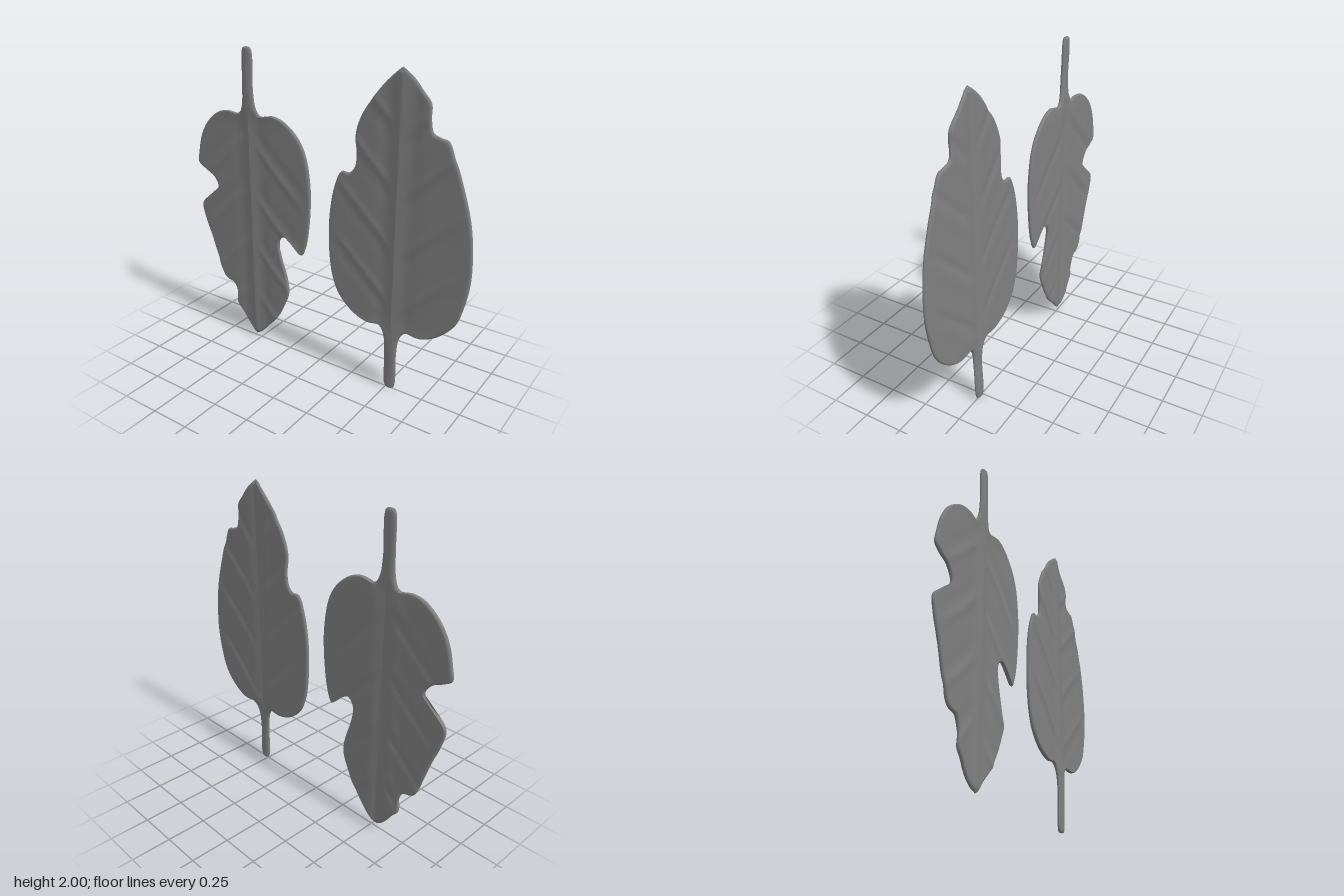
import * as THREE from 'three';
import { mergeVertices } from 'three/addons/utils/BufferGeometryUtils.js';

const VEIN_SLOPE = 0.9;   // how steeply side veins run toward the tip
const BLADE_TOP = 1.615;  // above this height there is only the stem
const ROWS = 240, INNER = 16, RIM = 5;

// Half outlines as [distance from midrib, height], running from stem end to leaf tip.
const STEM = [[0, 2], [0.025, 1.995], [0.037, 1.97], [0.04, 1.75], [0.052, 1.64], [0.075, 1.595]];

const HOOKED_EDGE = [[0.11, 1.585], [0.19, 1.6], [0.28, 1.57], [0.38, 1.48], [0.43, 1.38], [0.46, 1.2],
  [0.46, 1.05], [0.44, 0.86], [0.42, 0.78], [0.392, 0.725], [0.36, 0.75], [0.3, 0.8], [0.26, 0.82],
  [0.225, 0.8], [0.21, 0.75], [0.23, 0.65], [0.27, 0.52], [0.285, 0.43], [0.25, 0.33], [0.18, 0.2],
  [0.1, 0.11], [0.04, 0.045], [0, 0.02]];

const BITTEN_EDGE = [[0.11, 1.58], [0.18, 1.59], [0.26, 1.57], [0.36, 1.49], [0.42, 1.39], [0.45, 1.28],
  [0.46, 1.2], [0.42, 1.17], [0.34, 1.13], [0.3, 1.08], [0.3, 1.04], [0.34, 0.99], [0.42, 0.94],
  [0.45, 0.9], [0.43, 0.8], [0.38, 0.67], [0.34, 0.55], [0.28, 0.395], [0.25, 0.375], [0.2, 0.36],
  [0.17, 0.3], [0.17, 0.21], [0.13, 0.16], [0.08, 0.09], [0.03, 0.04], [0, 0.02]];

const STEPPED_EDGE = [[0.11, 1.575], [0.2, 1.58], [0.3, 1.53], [0.4, 1.42], [0.44, 1.3], [0.465, 1.15],
  [0.465, 1], [0.44, 0.8], [0.38, 0.6], [0.32, 0.45], [0.28, 0.37], [0.24, 0.36], [0.19, 0.34],
  [0.175, 0.28], [0.17, 0.19], [0.12, 0.13], [0.06, 0.065], [0, 0.015]];

const NICKED_EDGE = [[0.11, 1.575], [0.18, 1.585], [0.28, 1.55], [0.38, 1.46], [0.43, 1.35], [0.455, 1.2],
  [0.46, 1.05], [0.455, 0.93], [0.43, 0.78], [0.39, 0.67], [0.37, 0.65], [0.32, 0.65], [0.285, 0.61],
  [0.275, 0.55], [0.28, 0.4], [0.24, 0.29], [0.18, 0.2], [0.1, 0.1], [0.04, 0.045], [0, 0.015]];

const bell = (d, w) => Math.exp(-(d * d) / (w * w));

// Height of the leaf's middle surface: midrib, shoulders beside it and slanting side veins
function relief(u, v, side) {
  const stem = THREE.MathUtils.smoothstep(v, 1.5, 1.65);
  const midrib = 0.007 * bell(u, 0.028) - 0.004 * bell(u - 0.085, 0.04);
  let veins = 0;
  for (let k = 0; k < 4; k++) {
    const start = 1.5 - k * 0.36 - (side > 0 ? 0.06 : 0);
    const d = (v - start + (VEIN_SLOPE + 0.15) * u - 0.25 * u * u) / 1.4;
    veins += 0.004 * bell(d, 0.026) - 0.002 * bell(d - 0.06, 0.04);
  }
  veins *= THREE.MathUtils.smoothstep(u, 0.02, 0.1) * (1 - THREE.MathUtils.smoothstep(u, 0.3, 0.45));
  return THREE.MathUtils.lerp(-0.004 + midrib + veins, 0.005 * bell(v - 1.74, 0.13), stem);
}

// Half a leaf: ribs run from the midrib along the vein direction out to the edge
function addHalf(edge, side, positions, indices) {
  const curve = new THREE.CatmullRomCurve3(
    [...STEM, ...edge].map(([u, v]) => new THREE.Vector3(u, v, 0)), false, 'centripetal');
  curve.arcLengthDivisions = 1000;
  const outline = curve.getSpacedPoints(ROWS);
  const cols = INNER + RIM + 1;
  for (const face of [1, -1]) {
    const base = positions.length / 3;
    let root = 2;
    outline.forEach((p, i) => {
      const u1 = Math.max(0, p.x);
      const wanted = p.y > BLADE_TOP ? p.y : Math.min(1.56, p.y + VEIN_SLOPE * u1);
      root = Math.min(root, wanted);
      const length = Math.hypot(u1, p.y - root);
      const stem = THREE.MathUtils.smoothstep(root, 1.5, 1.65);
      const rim = Math.min(THREE.MathUtils.lerp(0.018, 0.034, stem), length * 0.9);
      const thick = THREE.MathUtils.lerp(0.012, 0.015, stem) * Math.min(1, length / 0.03);
      for (let j = 0; j < cols; j++) {
        // even steps across the blade, then a rounded rim
        const a = Math.max(0, j - INNER) / RIM * Math.PI / 2;
        const reach = j <= INNER ? (length - rim) * j / INNER : length - rim + rim * Math.sin(a);
        const s = length > 0 ? reach / length : 0;
        const u = u1 * s, v = THREE.MathUtils.lerp(root, p.y, s);
        const half = j === cols - 1 ? 0 : thick * Math.cos(a);
        positions.push(side * u, v, relief(u, v, side) + face * half);
        if (i < ROWS && j < cols - 1) {
          const q = base + i * cols + j, r = q + cols;
          if (side * face > 0) indices.push(q, r, q + 1, r, r + 1, q + 1);
          else indices.push(q, q + 1, r, r, q + 1, r + 1);
        }
      }
    });
  }
}

function makeLeaf(name, plusEdge, minusEdge) {
  const positions = [], indices = [];
  addHalf(plusEdge, 1, positions, indices);
  addHalf(minusEdge, -1, positions, indices);
  let geometry = new THREE.BufferGeometry();
  geometry.setAttribute('position', new THREE.Float32BufferAttribute(positions, 3));
  geometry.setIndex(indices);
  geometry = mergeVertices(geometry, 1e-5);
  geometry.computeVertexNormals();
  const leaf = new THREE.Mesh(geometry, new THREE.MeshStandardMaterial({ color: 0x7f7f7f }));
  leaf.name = name;
  return leaf;
}

export function createModel() {
  const group = new THREE.Group();
  group.name = 'leafPair';

  // Leaf hanging from its stem
  const rightLeaf = makeLeaf('rightLeaf', HOOKED_EDGE, BITTEN_EDGE);
  rightLeaf.position.x = -0.535;

  // Leaf standing on its stem, turned half a circle
  const leftLeaf = makeLeaf('leftLeaf', NICKED_EDGE, STEPPED_EDGE);
  leftLeaf.rotation.z = Math.PI;
  leftLeaf.position.set(0.525, 2, 0);

  group.add(rightLeaf, leftLeaf);
  return group;
}
